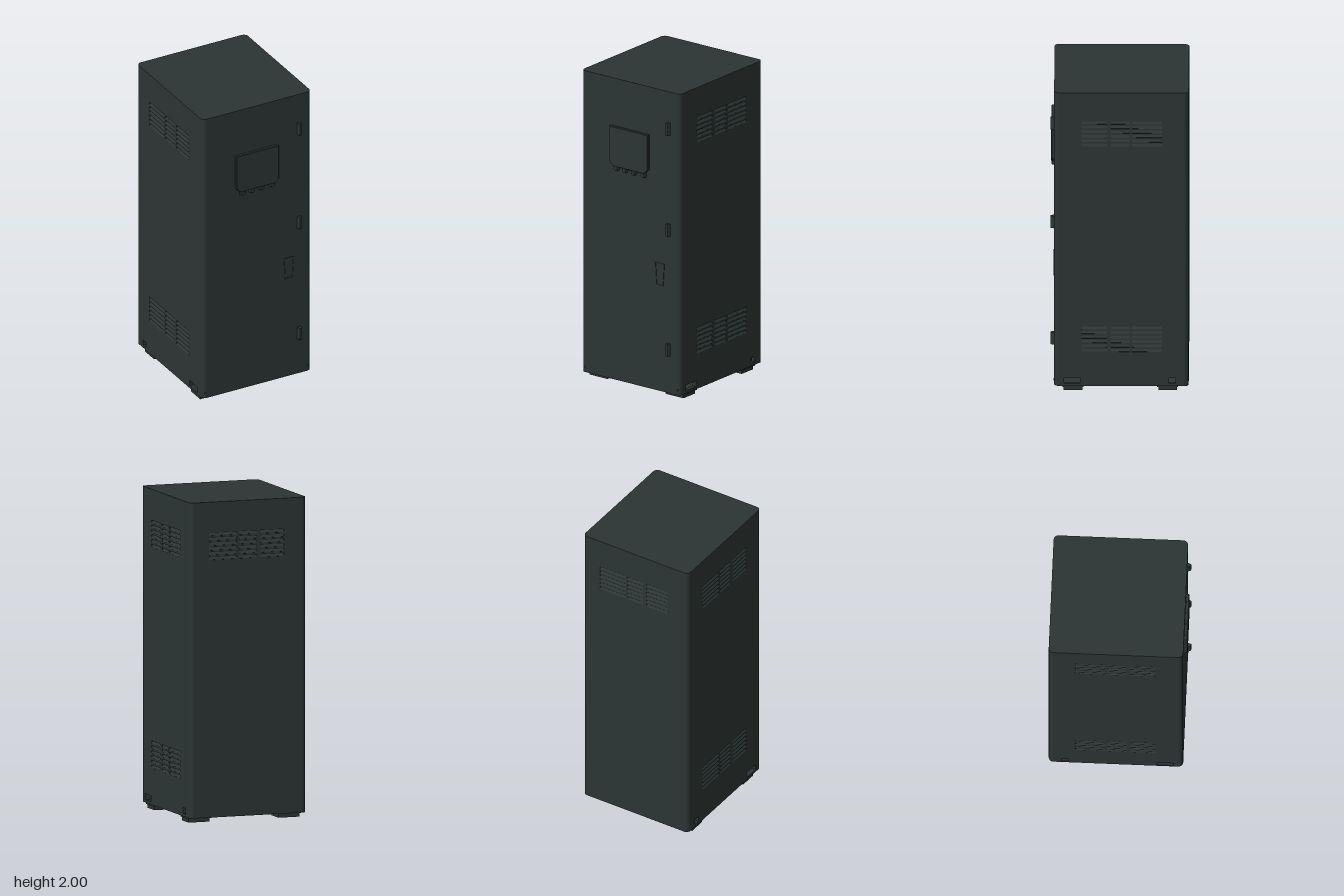
import * as THREE from 'three';

const paint = new THREE.MeshStandardMaterial({ color: 0x2c3534 });
paint.name = 'dark cabinet paint';

// Cabinet limits
const X = 0.385, ZF = 0.405, ZB = -0.425, Y0 = 0.035, Y1 = 2, R = 0.03, T = 0.025;
const ZC = (ZF + ZB) / 2;

function add(parent, name, geometry, x = 0, y = 0, z = 0) {
  const mesh = new THREE.Mesh(geometry, paint);
  mesh.name = name;
  mesh.position.set(x, y, z);
  parent.add(mesh);
  return mesh;
}

function outline(points, Type = THREE.Shape) {
  return new Type(points.map(([x, y]) => new THREE.Vector2(x, y)));
}

function rect(x0, x1, y0, y1, Type) {
  return outline([[x0, y0], [x1, y0], [x1, y1], [x0, y1]], Type);
}

// Louvre slots: three columns by six rows
function ventSlots(y0, flip) {
  const slots = [];
  for (const [a, b] of [[-0.235, -0.08], [-0.055, 0.06], [0.075, 0.26]]) {
    for (let row = 0; row < 6; row++) {
      const y = y0 + row * 0.03;
      slots.push(flip > 0 ? [a, b, y, y + 0.018] : [-b, -a, y, y + 0.018]);
    }
  }
  return slots;
}

// Flat wall with its outer face at local z = 0
function wall(name, u0, u1, slots, openings = []) {
  const group = new THREE.Group();
  group.name = name;
  const shape = rect(u0, u1, Y0, Y1);
  for (const h of [...slots, ...openings]) shape.holes.push(rect(...h, THREE.Path));
  const sheet = new THREE.ExtrudeGeometry(shape, { depth: T, bevelEnabled: false });
  add(group, name + 'Sheet', sheet, 0, 0, -T);
  for (const [a, b, c, d] of slots) {
    const slat = add(group, 'louvreSlat', new THREE.BoxGeometry(b - a, 0.022, 0.003),
      (a + b) / 2, (c + d) / 2, -0.006);
    slat.rotation.x = -0.6;
  }
  return group;
}

export function createModel() {
  const model = new THREE.Group();
  model.name = 'cabinet';

  // Inner core behind the louvres, with a roof and a floor plate
  add(model, 'innerCore', new THREE.BoxGeometry(0.72, 1.85, 0.78), 0, 1.03, ZC);
  const plate = new THREE.Shape();
  const w = X, d = (ZF - ZB) / 2;
  plate.moveTo(-w + R, -d);
  plate.absarc(w - R, -d + R, R, -Math.PI / 2, 0);
  plate.absarc(w - R, d - R, R, 0, Math.PI / 2);
  plate.absarc(-w + R, d - R, R, Math.PI / 2, Math.PI);
  plate.absarc(-w + R, -d + R, R, Math.PI, Math.PI * 1.5);
  for (const [name, y] of [['roof', Y1 - 0.012], ['floor', Y0]]) {
    const g = new THREE.ExtrudeGeometry(plate, { depth: 0.012, bevelEnabled: false, curveSegments: 8 });
    g.rotateX(-Math.PI / 2);
    add(model, name, g, 0, y, ZC);
  }

  // Rounded vertical corners
  for (const sx of [-1, 1]) {
    for (const [z, name] of [[ZF - R, 'frontCorner'], [ZB + R, 'backCorner']]) {
      add(model, name, new THREE.CylinderGeometry(R, R, Y1 - Y0, 32, 1, true),
        sx * (X - R), (Y0 + Y1) / 2, z);
    }
  }

  // Front and back walls
  const front = wall('frontDoor', -X + R, X - R, []);
  front.position.z = ZF;
  const back = wall('backWall', -X + R, X - R, ventSlots(1.64, -1));
  back.position.z = ZB;
  back.rotation.y = Math.PI;
  model.add(front, back);

  // Side walls with two vents each and small openings above the feet
  for (const s of [1, -1]) {
    const span = [-ZF + R, -ZB - R].map((v) => v * s).sort((a, b) => a - b);
    const holes = [[-0.345, -0.245], [0.305, 0.345]].map(([a, b]) =>
      s > 0 ? [a, b, 0.052, 0.09] : [-b, -a, 0.052, 0.09]);
    const side = wall(s > 0 ? 'leftWall' : 'rightWall', ...span,
      [...ventSlots(1.64, s), ...ventSlots(0.265, s)], holes);
    side.position.x = s * X;
    side.rotation.y = s * Math.PI / 2;
    model.add(side);
  }

  // Feet, with a bolt beside each front foot
  for (const sx of [-1, 1]) {
    for (const z of [0.288, -0.295]) {
      add(model, 'foot', new THREE.BoxGeometry(0.14, 0.028, 0.115), sx * 0.297, 0.014, z);
      add(model, 'footBracket', new THREE.BoxGeometry(0.155, 0.015, 0.13), sx * 0.297, 0.031, z);
    }
    add(model, 'bolt', new THREE.CylinderGeometry(0.008, 0.008, 0.006, 12), sx * 0.36, 0.068, ZF)
      .rotation.x = Math.PI / 2;
  }

  // Display panel with a tapered lower edge and four knobs
  const screen = outline([[-0.155, 1.69], [-0.155, 1.46], [-0.125, 1.43], [0.12, 1.43],
    [0.148, 1.46], [0.148, 1.69]]);
  add(model, 'display', new THREE.ExtrudeGeometry(screen,
    { depth: 0.014, bevelEnabled: true, bevelThickness: 0.005, bevelSize: 0.004, bevelOffset: -0.004, bevelSegments: 1 }),
    0, 0, ZF);
  for (const x of [-0.105, -0.04, 0.03, 0.105]) {
    add(model, 'knob', new THREE.CylinderGeometry(0.014, 0.019, 0.018, 20), x, 1.418, ZF + 0.009)
      .rotation.x = Math.PI / 2;
  }

  // Hinges
  const hinge = outline([[-0.015, 0], [0.015, 0], [0.006, 0.022], [-0.006, 0.022]]);
  for (const y of [1.76, 1.1, 0.32]) {
    const g = new THREE.ExtrudeGeometry(hinge, { depth: 0.08, bevelEnabled: false });
    g.rotateX(Math.PI / 2);
    add(model, 'hinge', g, 0.297, y + 0.04, ZF);
  }

  // Door latch: thin frame around a flush pull
  const latch = outline([[0.2, 0.72], [0.255, 0.72], [0.265, 0.87], [0.19, 0.87]]);
  latch.holes.push(outline([[0.206, 0.727], [0.249, 0.727], [0.258, 0.863], [0.197, 0.863]], THREE.Path));
  add(model, 'latchFrame', new THREE.ExtrudeGeometry(latch, { depth: 0.004, bevelEnabled: false }), 0, 0, ZF);

  return model;
}
